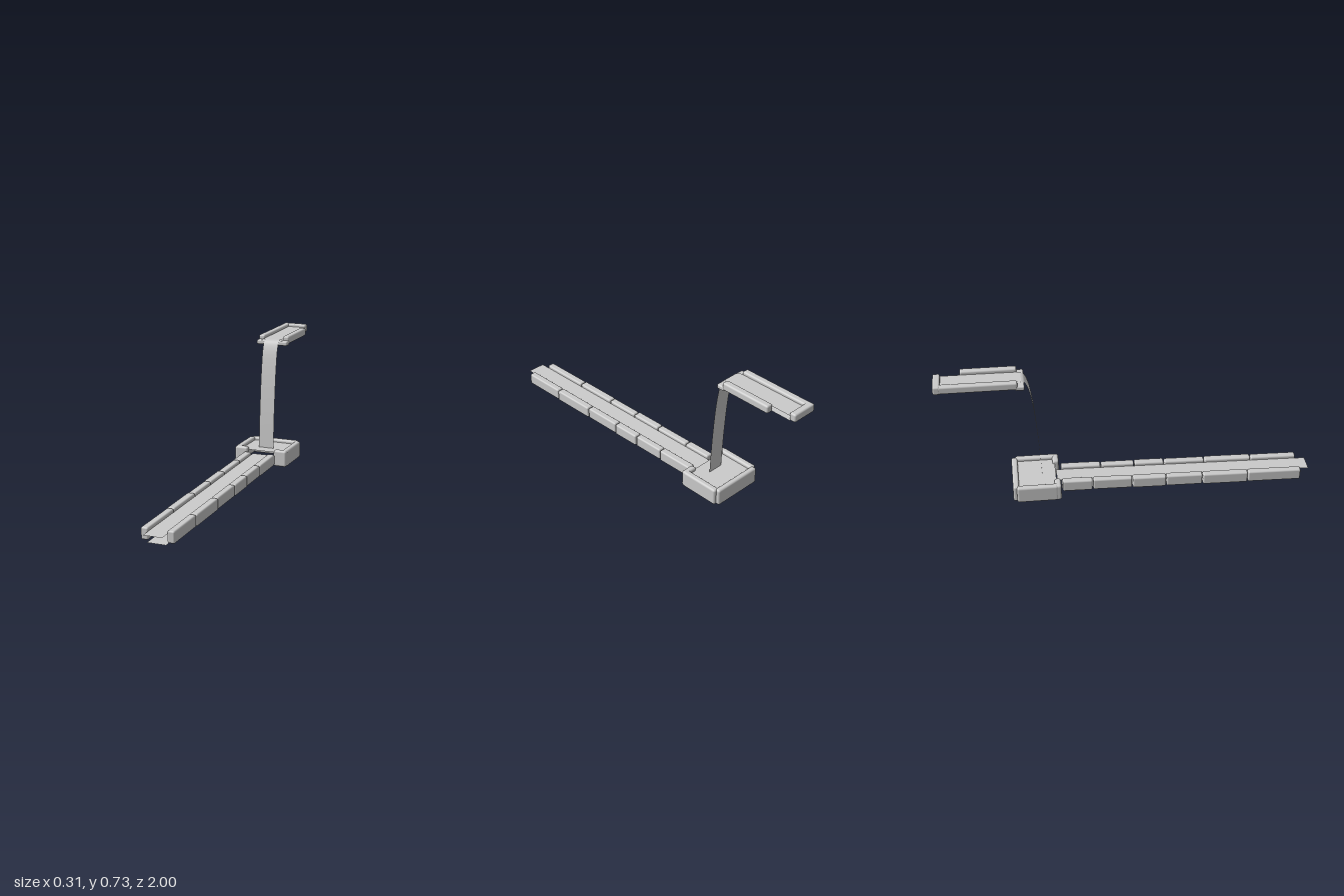
import * as THREE from 'three';
import { RoundedBoxGeometry } from 'three/addons/geometries/RoundedBoxGeometry.js';

const stone = new THREE.MeshStandardMaterial({ color: 0xcccccc });
const sheetMat = new THREE.MeshStandardMaterial({ color: 0xcccccc, side: THREE.DoubleSide });

// Rounded stone block given by its extents, optionally pitched along the slope
function block(parent, name, [x0, x1], [y0, y1], [z0, z1], radius = 0.012, pitch = 0) {
  const w = x1 - x0, h = y1 - y0, d = z1 - z0;
  const mesh = new THREE.Mesh(new RoundedBoxGeometry(w, h, d, 3, radius), stone);
  mesh.position.set((x0 + x1) / 2, (y0 + y1) / 2, (z0 + z1) / 2);
  mesh.rotation.x = pitch;
  mesh.name = name;
  parent.add(mesh);
}

// Thin sheet between x0 and x1, following a [z, y] path
function sheet(parent, name, x0, x1, path) {
  const geo = new THREE.PlaneGeometry(1, 1, 1, path.length - 1);
  const pos = geo.attributes.position;
  path.forEach(([z, y], i) => {
    pos.setXYZ(2 * i, x0, y, z);
    pos.setXYZ(2 * i + 1, x1, y, z);
  });
  geo.computeVertexNormals();
  const mesh = new THREE.Mesh(geo, sheetMat);
  mesh.name = name;
  parent.add(mesh);
}

function group(root, name) {
  const g = new THREE.Group();
  g.name = name;
  root.add(g);
  return g;
}

export function createModel() {
  const root = new THREE.Group();
  root.name = 'waterChannel';

  // Long lower channel: sloping floor, water and two rows of stones
  const lower = group(root, 'lowerChannel');
  const drop = 0.025 / 1.31;
  const wallBase = z => 0.006 + (0.95 - z) * drop;
  const rows = [
    [-1, 'rightWallStone', [-0.36, -0.195, 0.02, 0.205, 0.405, 0.655, 0.95]],
    [1, 'leftWallStone', [-0.36, -0.14, 0.045, 0.21, 0.435, 0.695, 0.95]],
  ];
  for (const [side, name, cuts] of rows) {
    for (let i = 0; i < cuts.length - 1; i++) {
      const a = cuts[i] + 0.002, b = cuts[i + 1] - 0.002;
      const y = wallBase((a + b) / 2), wobble = (i % 2) * 0.003;
      const xs = side < 0 ? [-0.092 + wobble, -0.05] : [0.05, 0.092 - wobble];
      block(lower, name, xs, [y, y + 0.063], [a, b], 0.009, Math.atan(drop));
    }
  }
  sheet(lower, 'channelFloor', -0.05, 0.05, [[-0.36, 0.022], [0.96, 0]]);
  sheet(lower, 'channelWater', -0.05, 0.05, [[-0.385, 0.078], [1, 0.05]]);

  // Basin: side walls, back wall and two posts beside the outlet
  const basin = group(root, 'basin');
  const by = [0.022, 0.115];
  for (const s of [-1, 1]) {
    const span = (a, b) => (s < 0 ? [-b, -a] : [a, b]);
    block(basin, 'basinSideWall', span(0.122, 0.157), by, [-0.605, -0.385]);
    block(basin, 'basinFrontPost', span(0.078, 0.155), by, [-0.402, -0.368]);
  }
  block(basin, 'basinBackWall', [-0.142, 0.142], by, [-0.625, -0.592]);
  sheet(basin, 'basinWater', -0.13, 0.13, [[-0.605, 0.097], [-0.39, 0.097]]);

  // Upper trough with a low front lip and an open corner on one side
  const upper = group(root, 'upperTrough');
  block(upper, 'troughRightWall', [-0.092, -0.055], [0.687, 0.729], [-0.975, -0.57], 0.01);
  block(upper, 'troughLeftWall', [0.052, 0.09], [0.687, 0.73], [-0.862, -0.57], 0.01);
  block(upper, 'troughBackWall', [-0.092, 0.05], [0.685, 0.73], [-1, -0.962], 0.01);
  block(upper, 'troughFrontLip', [-0.091, 0.091], [0.681, 0.706], [-0.582, -0.535], 0.008);
  sheet(upper, 'troughFloor', -0.055, 0.055, [[-0.97, 0.69], [-0.57, 0.69]]);
  sheet(upper, 'troughWater', -0.055, 0.05, [[-0.97, 0.713], [-0.55, 0.711]]);

  // Waterfall curving from the trough down into the basin
  const fall = new THREE.CatmullRomCurve3([
    [-0.555, 0.711], [-0.535, 0.703], [-0.515, 0.66], [-0.495, 0.55], [-0.475, 0.33], [-0.462, 0.08],
  ].map(([z, y]) => new THREE.Vector3(0, y, z)));
  sheet(root, 'waterfall', -0.045, 0.043, fall.getPoints(24).map(p => [p.z, p.y]));

  return root;
}
